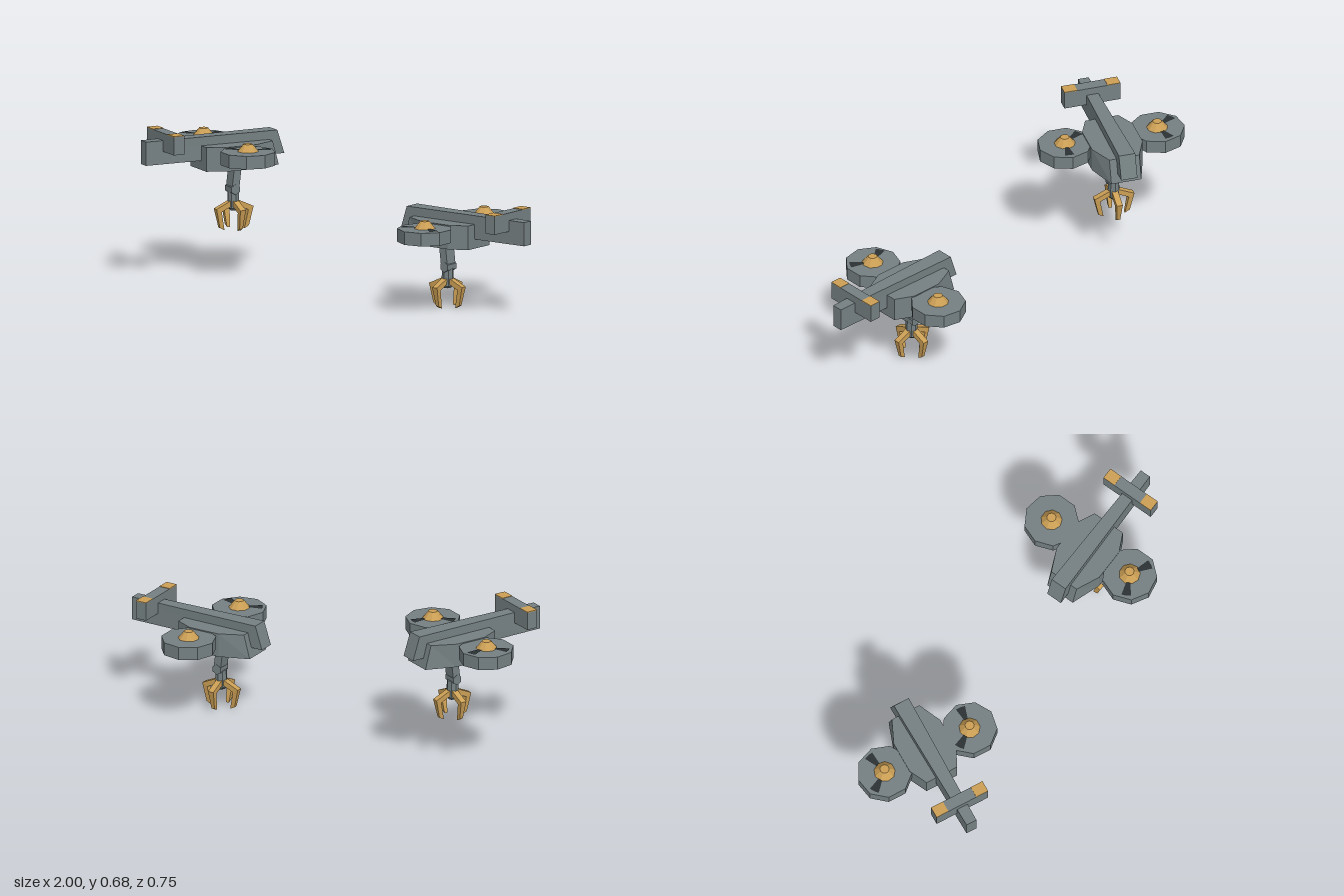
import * as THREE from 'three';

const mat = (name, color) => {
  const m = new THREE.MeshStandardMaterial({ color });
  m.name = name;
  return m;
};

// Faceted normals for a low-poly look
function facet(geo) {
  const g = geo.index ? geo.toNonIndexed() : geo;
  g.computeVertexNormals();
  return g;
}

// Plan outline given as [x, halfWidth] from nose to tail, raised from y0 to y1,
// with the lower nose edge pushed forward by rake
function hull(stations, y0, y1, rake) {
  const right = stations.map(([x, w]) => new THREE.Vector2(x, -w));
  const left = stations.map(([x, w]) => new THREE.Vector2(x, w)).reverse();
  const geo = new THREE.ExtrudeGeometry(new THREE.Shape([...right, ...left]), { depth: y1 - y0, bevelEnabled: false });
  geo.rotateX(-Math.PI / 2).translate(0, y0, 0);
  const p = geo.attributes.position;
  for (let i = 0; i < p.count; i++) {
    if (p.getY(i) < (y0 + y1) / 2 && p.getX(i) < stations[0][0] + 0.01) p.setX(i, p.getX(i) - rake);
  }
  return facet(geo);
}

export function createModel() {
  const grey = mat('grey metal', 0x758082);
  const gold = mat('gold', 0xcb9f55);
  const dark = mat('dark blade', 0x2c3233);

  function add(parent, name, geo, material, x = 0, y = 0, z = 0) {
    const m = new THREE.Mesh(geo, material);
    m.name = name;
    m.position.set(x, y, z);
    parent.add(m);
    return m;
  }

  // Bent finger, broad at the knuckle and narrow at the tip
  const fingerShape = new THREE.Shape([
    [0.02, 0.112], [0.067, 0.09], [0.05, 0.006], [0.073, 0.018], [0.093, 0.105], [0.02, 0.138],
  ].map(([x, y]) => new THREE.Vector2(x, y)));
  const fingerGeo = new THREE.ExtrudeGeometry(fingerShape, { depth: 0.028, bevelEnabled: false });
  fingerGeo.translate(0, 0, -0.014);
  const fp = fingerGeo.attributes.position;
  for (let i = 0; i < fp.count; i++) {
    if (fp.getY(i) < 0.05) fp.setZ(i, fp.getZ(i) * 0.55);
  }
  facet(fingerGeo);

  // bladeAngles: blade directions of the [left, right] rotors, from the tail towards the right
  function drone(name, bladeAngles) {
    const g = new THREE.Group();
    g.name = name;

    add(g, 'body', hull([[-0.2, 0.07], [-0.095, 0.118], [0.055, 0.118], [0.138, 0.078]], 0.295, 0.405, 0.03), grey);
    add(g, 'spine', hull([[-0.24, 0.038], [0.413, 0.025]], 0.337, 0.445, 0.035), grey);

    // Tail bar with gold ends on its top
    add(g, 'tailBar', new THREE.BoxGeometry(0.053, 0.084, 0.262), grey, 0.302, 0.437);
    for (const s of [-1, 1]) {
      add(g, 'tailBarCap', new THREE.BoxGeometry(0.053, 0.004, 0.06), gold, 0.302, 0.479, s * 0.101);
    }

    // Rotors
    [1, -1].forEach((s, i) => {
      const rotor = new THREE.Group();
      rotor.name = s > 0 ? 'leftRotor' : 'rightRotor';
      rotor.position.set(0, 0.37, s * 0.2165);
      g.add(rotor);
      const disc = new THREE.CylinderGeometry(0.124, 0.124, 0.06, 9).rotateY(-Math.PI / 2);
      add(rotor, 'rotorDisc', facet(disc), grey);
      add(rotor, 'hub', facet(new THREE.CylinderGeometry(0.021, 0.048, 0.033, 9)), gold, 0, 0.0465);
      for (const a of bladeAngles[i]) {
        const blade = new THREE.RingGeometry(0.04, 0.105, 1, 1, a - 0.21, 0.42).rotateX(-Math.PI / 2);
        add(rotor, 'blade', blade, dark, 0, 0.033);
      }
    });

    // Hanging arm
    const upper = add(g, 'upperArm', new THREE.BoxGeometry(0.036, 0.12, 0.06), grey, -0.04, 0.238);
    upper.rotation.z = 0.12;
    const joint = new THREE.CylinderGeometry(0.024, 0.024, 0.064, 6).rotateX(Math.PI / 2);
    add(g, 'elbow', facet(joint), grey, -0.034, 0.19);
    add(g, 'lowerArm', facet(new THREE.CylinderGeometry(0.026, 0.028, 0.08, 8)), grey, -0.038, 0.143);
    add(g, 'wrist', facet(new THREE.CylinderGeometry(0.027, 0.017, 0.012, 8)), grey, -0.04, 0.098);

    // Four-fingered claw
    const claw = new THREE.Group();
    claw.name = 'claw';
    claw.position.x = -0.04;
    g.add(claw);
    for (let i = 0; i < 4; i++) {
      add(claw, 'finger', fingerGeo, gold).rotation.y = i * Math.PI / 2;
    }
    return g;
  }

  const model = new THREE.Group();
  model.name = 'clawDrones';

  const low = drone('lowDrone', [[-2.65, -0.49], []]);
  low.position.set(0.585, 0, -0.04);
  model.add(low);

  const high = drone('highDrone', [[-2.88, -0.96], [3.05, -0.96]]);
  high.position.set(-0.685, 0.208, -0.012);
  high.rotation.y = -2.007;
  model.add(high);

  return model;
}
